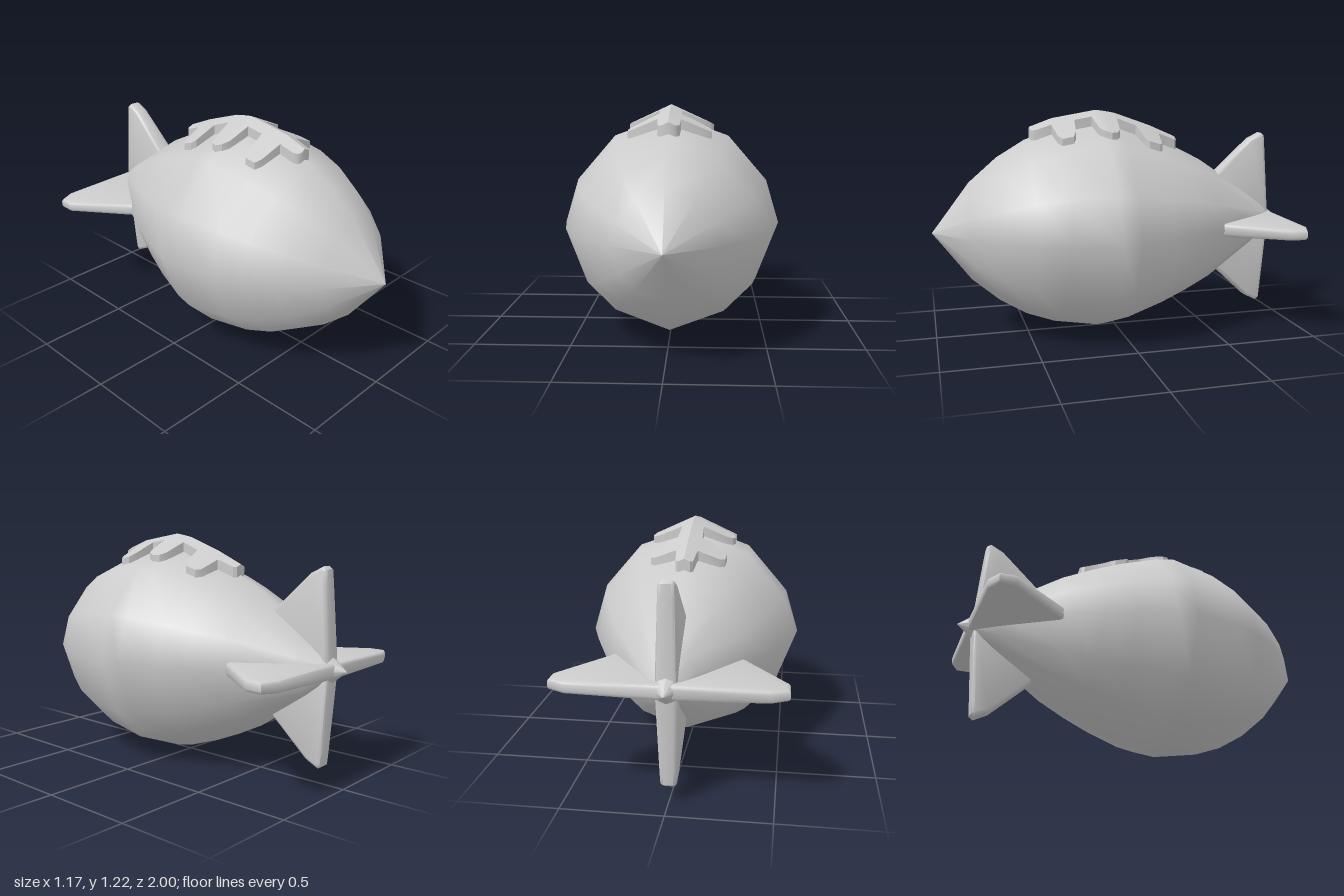
import * as THREE from 'three';
import { toCreasedNormals } from 'three/addons/utils/BufferGeometryUtils.js';

const CENTRE_Y = 0.583;
const material = new THREE.MeshStandardMaterial({ color: 0xcccccc });

// Body radius along z, tail to nose
const PROFILE = [[-1, 0], [-0.8, 0.155], [-0.5, 0.355], [-0.35, 0.43], [-0.2, 0.495], [0, 0.565], [0.1, 0.583],
  [0.35, 0.54], [0.5, 0.485], [0.65, 0.395], [0.8, 0.265], [1, 0]];

function bodyRadius(z) {
  const i = PROFILE.findIndex((p, k) => k > 0 && z <= p[0]);
  const [z0, r0] = PROFILE[i - 1], [z1, r1] = PROFILE[i];
  return r0 + (r1 - r0) * (z - z0) / (z1 - z0);
}

// Skins counter-clockwise sections ordered from back to front
function loft(sections, capped) {
  const n = sections[0].length, last = (sections.length - 1) * n, index = [];
  const quad = (a, b, c, d) => index.push(a, b, c, a, c, d);
  for (let i = 0; i < last; i += n) {
    for (let j = 0; j < n; j++) {
      const k = (j + 1) % n;
      quad(i + j, i + k, i + n + k, i + n + j);
    }
  }
  if (capped) {
    for (let j = 0; j < n / 2 - 1; j++) {
      const [a, b, c, d] = [j, j + 1, n - 2 - j, n - 1 - j];
      quad(last + a, last + b, last + c, last + d);
      quad(d, c, b, a);
    }
  }
  const geometry = new THREE.BufferGeometry();
  geometry.setAttribute('position', new THREE.Float32BufferAttribute(sections.flat(2), 3));
  geometry.setIndex(index);
  geometry.computeVertexNormals();
  return geometry;
}

// Twelve-sided body, slightly uneven around its axis
function createBody() {
  const right = [[0, -1], [0.526, -0.8], [0.8, -0.525], [1, 0], [0.88, 0.4], [0.526, 0.81], [0, 1]];
  const ring = [...right, ...right.slice(1, -1).reverse().map(([x, y]) => [-x, y])];
  const sections = PROFILE.map(([z, r]) => ring.map(([x, y]) => {
    const s = Math.max(r, 0.0005);
    return [x * s, CENTRE_Y + y * s, z];
  }));
  return loft(sections, false);
}

// Raised lacing draped over the top: [z, half width] for the spine and three bars
function createLaces() {
  const outline = [[-0.35, 0.03], [-0.335, 0.045], [-0.25, 0.055],
    [-0.24, 0.06], [-0.225, 0.17], [-0.205, 0.195], [-0.145, 0.2], [-0.125, 0.18], [-0.105, 0.065],
    [0, 0.06], [0.015, 0.18], [0.035, 0.215], [0.07, 0.23], [0.105, 0.215], [0.125, 0.18], [0.14, 0.06],
    [0.235, 0.06], [0.25, 0.17], [0.27, 0.215], [0.33, 0.215], [0.347, 0.18], [0.36, 0.06],
    [0.44, 0.055], [0.46, 0.045], [0.47, 0.03]];
  const sections = outline.map(([z, w]) => {
    const inner = Math.min(w, 0.055);
    const surface = (x) => CENTRE_Y + bodyRadius(z) - 0.36 * Math.abs(x);
    const xs = [w, inner, 0, -inner, -w];
    const top = xs.map((x) => [x, surface(x) + 0.058 - 0.1 * Math.abs(x), z]);
    const bottom = xs.map((x) => [x, surface(x) - 0.015, z]).reverse();
    return [...top, ...bottom];
  });
  return toCreasedNormals(loft(sections, true), 0.6);
}

// Bevelled fin, thinner towards its tip; outline is [distance from axis, z]
function createFin(outline, halfThickness) {
  const bevel = 0.022;
  const shape = new THREE.Shape(outline.map(([u, z]) => new THREE.Vector2(u, z)));
  const depth = 2 * (halfThickness - bevel);
  const geometry = new THREE.ExtrudeGeometry(shape, {
    depth, bevelThickness: bevel, bevelSize: 0.018, bevelOffset: -0.018, bevelSegments: 2,
  });
  geometry.translate(0, 0, -depth / 2);
  const p = geometry.attributes.position;
  for (let i = 0; i < p.count; i++) {
    p.setZ(i, p.getZ(i) * (1 - 0.75 * Math.max(0, p.getX(i) - 0.15)));
  }
  geometry.rotateX(Math.PI / 2);
  return toCreasedNormals(geometry, 0.8);
}

export function createModel() {
  const model = new THREE.Group();
  const add = (name, geometry) => {
    const mesh = new THREE.Mesh(geometry, material);
    mesh.name = name;
    model.add(mesh);
    return mesh;
  };

  add('body', createBody());
  add('laces', createLaces());

  // Four tail fins, turned around the body axis
  const sideFin = createFin([[0, -0.95], [0.47, -0.945], [0.555, -0.905], [0.555, -0.82], [0.28, -0.46], [0, -0.46]], 0.04);
  const uprightFin = createFin([[0, -0.925], [0.42, -0.895], [0.485, -0.89], [0.5, -0.87], [0.465, -0.8], [0.24, -0.56], [0, -0.56]], 0.053);
  ['leftFin', 'topFin', 'rightFin', 'bottomFin'].forEach((name, i) => {
    const fin = add(name, i % 2 ? uprightFin : sideFin);
    fin.position.y = CENTRE_Y;
    fin.rotation.z = i * Math.PI / 2;
  });

  return model;
}
